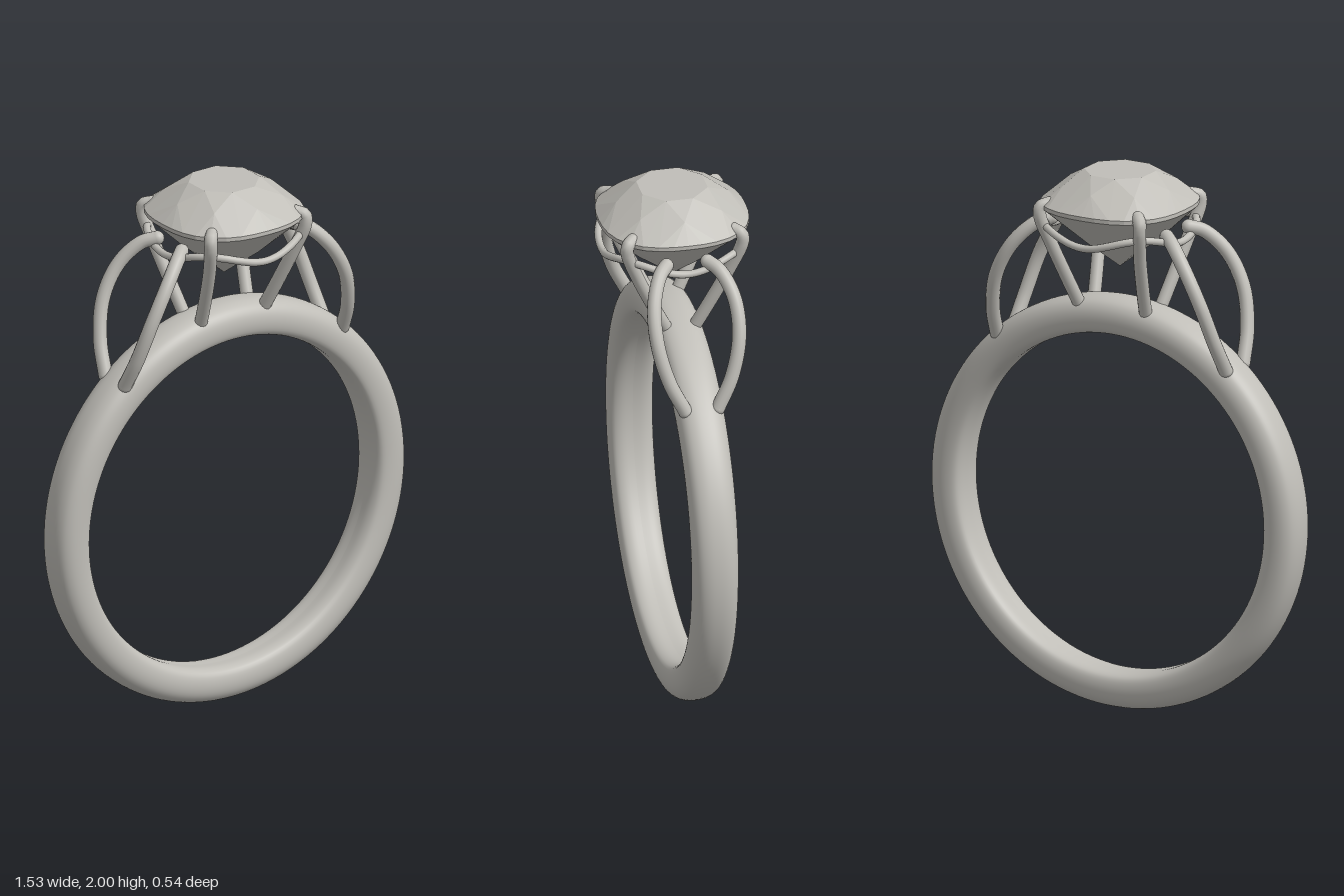
import * as THREE from 'three';
import { ConvexGeometry } from 'three/addons/geometries/ConvexGeometry.js';

const metal = new THREE.MeshStandardMaterial({ color: 0xc0beb8 });
metal.name = 'pale grey';

const v = (x, y, z) => new THREE.Vector3(x, y, z);

// Point on a softly squared (cushion) outline of half-width r
function cushion(r, angle, y, n = 2.5) {
  const c = Math.cos(angle), s = Math.sin(angle);
  const k = r / Math.pow(Math.abs(c) ** n + Math.abs(s) ** n, 1 / n);
  return v(c * k, y, s * k);
}

function ring(count, r, y, offset = 0, n = 2.5) {
  return Array.from({ length: count }, (_, i) =>
    cushion(r, ((i + offset) / count) * Math.PI * 2, y, n));
}

// Round wire through points, with ball ends
function wire(name, points, radius) {
  const group = new THREE.Group();
  group.name = name;
  const curve = new THREE.CatmullRomCurve3(points);
  group.add(new THREE.Mesh(new THREE.TubeGeometry(curve, 48, radius, 14), metal));
  for (const p of [points[0], points[points.length - 1]]) {
    const ball = new THREE.Mesh(new THREE.SphereGeometry(radius, 14, 10), metal);
    ball.position.copy(p);
    group.add(ball);
  }
  group.children.forEach((m) => { m.name = name + 'Part'; });
  return group;
}

// Band with a domed outside, slightly wider towards the top
function makeBand() {
  const half = [[0.63, 0], [0.631, 0.045], [0.645, 0.072], [0.68, 0.083],
    [0.72, 0.079], [0.747, 0.062], [0.761, 0.035], [0.765, 0]];
  const profile = [
    ...half.map(([r, z]) => v(r, -z, 0)),
    ...half.slice(1, -1).reverse().map(([r, z]) => v(r, z, 0)),
  ];
  const section = new THREE.CatmullRomCurve3(profile, true).getPoints(52)
    .map((p) => new THREE.Vector2(p.x, p.y));
  const geometry = new THREE.LatheGeometry(section, 128);
  geometry.rotateX(Math.PI / 2);
  const pos = geometry.attributes.position;
  for (let i = 0; i < pos.count; i++) {
    pos.setZ(i, pos.getZ(i) * (1 + 0.07 * pos.getY(i) / 0.765));
  }
  const band = new THREE.Mesh(geometry, metal);
  band.name = 'band';
  band.position.y = 0.766;
  return band;
}

// Faceted cushion-cut stone: table, crown, girdle, pavilion and point
function makeStone() {
  const points = [
    ...ring(8, 0.13, 2.0, 0.5, 2),
    ...ring(8, 0.205, 1.953, 0, 2.2),
    ...ring(32, 0.27, 1.89),
    ...ring(32, 0.27, 1.875),
    ...ring(8, 0.14, 1.748, 0.5, 2.2),
    v(0, 1.64, 0),
  ];
  const stone = new THREE.Mesh(new ConvexGeometry(points), metal);
  stone.name = 'stone';
  return stone;
}

// Wavy rail under the stone, dipping on each side and rising at the prongs
function makeRail() {
  const points = Array.from({ length: 32 }, (_, i) => {
    const a = (i / 32) * Math.PI * 2;
    return cushion(0.258, a, 1.79 - 0.02 * Math.cos(4 * a));
  });
  const curve = new THREE.CatmullRomCurve3(points, true);
  const rail = new THREE.Mesh(new THREE.TubeGeometry(curve, 128, 0.014, 10, true), metal);
  rail.name = 'galleryRail';
  return rail;
}

export function createModel() {
  const model = new THREE.Group();
  model.name = 'ring';
  model.add(makeBand(), makeStone(), makeRail());

  // Prongs and shoulder arches, mirrored into four corners
  for (const sx of [-1, 1]) {
    for (const sz of [-1, 1]) {
      const corner = (sz > 0 ? 'front' : 'back') + (sx > 0 ? 'Left' : 'Right');
      const place = (list) => list.map(([x, y, z]) => v(x * sx, y, z * sz));
      model.add(wire(corner + 'Prong', place([
        [0.138, 1.49, 0.05], [0.158, 1.6, 0.105], [0.185, 1.74, 0.17],
        [0.208, 1.85, 0.211], [0.207, 1.882, 0.209], [0.185, 1.893, 0.185],
      ]), 0.024));
      model.add(wire(corner + 'Arch', place([
        [0.478, 1.335, 0.06], [0.462, 1.45, 0.115], [0.425, 1.59, 0.15],
        [0.36, 1.71, 0.147], [0.285, 1.787, 0.11], [0.24, 1.805, 0.075],
      ]), 0.026));
    }
  }
  return model;
}
